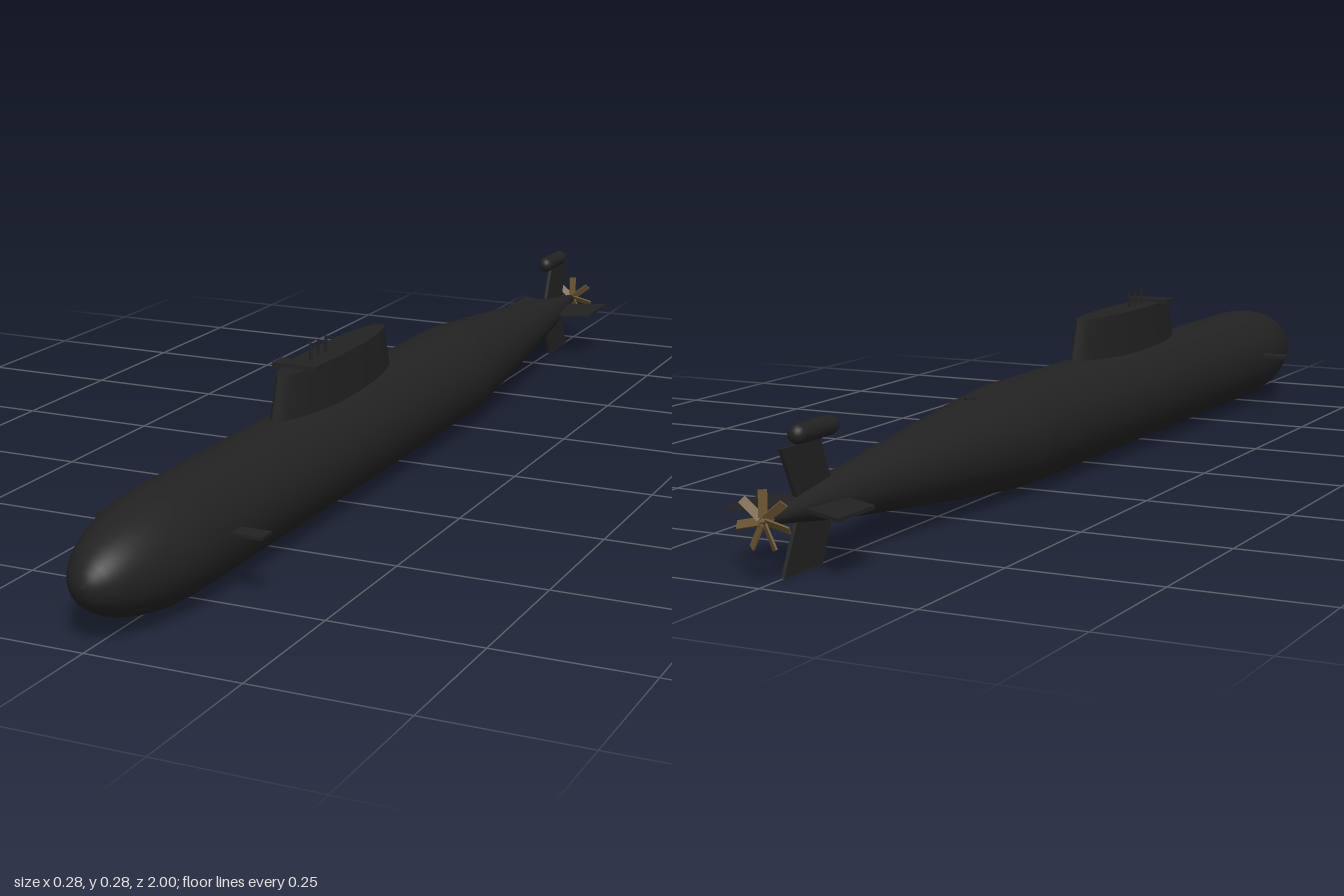
import * as THREE from 'three';

const CY = 0.092; // height of the hull axis
const R = 0.09; // hull radius

export function createModel() {
  const black = new THREE.MeshStandardMaterial({ color: 0x222222 });
  black.name = 'hull black';
  const brass = new THREE.MeshStandardMaterial({ color: 0x6b5530 });
  brass.name = 'dull brass';

  const model = new THREE.Group();
  model.name = 'submarine';
  const add = (name, geometry, material, x = 0, y = 0, z = 0, parent = model) => {
    const mesh = new THREE.Mesh(geometry, material);
    mesh.name = name;
    mesh.position.set(x, y, z);
    parent.add(mesh);
    return mesh;
  };

  // Hull: straight middle, long tapered stern and elliptical bow
  const tail = [[0, -0.98], [0.008, -0.975], [0.021, -0.89], [0.035, -0.8], [0.057, -0.61], [0.076, -0.43], [0.0895, -0.29], [R, -0.27]];
  const profile = tail.map(([r, z]) => new THREE.Vector2(r, z));
  for (let i = 0; i <= 12; i++) {
    const a = (i / 12) * Math.PI / 2;
    profile.push(new THREE.Vector2(i === 12 ? 0 : R * Math.cos(a), 0.76 + 0.238 * Math.sin(a)));
  }
  add('hull', new THREE.LatheGeometry(profile, 40).rotateX(Math.PI / 2), black, 0, CY, 0);

  // Sail: tapered oval tower
  const sail = new THREE.CylinderGeometry(0.875, 1, 0.091, 28).scale(0.0365, 1, 0.224);
  add('sail', sail, black, 0, 0.2065, 0.21);

  // Small planes at the top of the sail, and masts behind them
  add('sailPlanes', new THREE.BoxGeometry(0.08, 0.008, 0.035), black, 0, 0.254, 0.335);
  for (const z of [0.29, 0.262, 0.234]) {
    add('mast', new THREE.CylinderGeometry(0.0025, 0.0025, 0.036, 8), black, 0, 0.262, z);
  }

  // Aft deck hatch
  add('hatch', new THREE.CylinderGeometry(0.01, 0.01, 0.012, 16), black, 0, 0.168, -0.39);

  // Bow planes
  for (const side of [-1, 1]) {
    add('bowPlane', new THREE.BoxGeometry(0.07, 0.005, 0.032), black, side * 0.105, 0.102, 0.718);
  }

  // Four swept stern fins in a cross
  const outline = new THREE.Shape([[0.005, -0.9], [0.092, -0.942], [0.092, -0.842], [0.005, -0.805]].map(([x, z]) => new THREE.Vector2(x, z)));
  const finGeometry = new THREE.ExtrudeGeometry(outline, { depth: 0.006, bevelEnabled: false })
    .translate(0, 0, -0.003).rotateX(Math.PI / 2);
  for (let i = 0; i < 4; i++) {
    add('sternFin', finGeometry, black, 0, CY, 0).rotation.z = i * Math.PI / 2;
  }

  // Sonar pod on the upper fin
  add('sternPod', new THREE.CapsuleGeometry(0.015, 0.08, 6, 16).rotateX(Math.PI / 2), black, 0, 0.198, -0.855);

  // Propeller: pointed hub and seven pitched blades
  const propeller = new THREE.Group();
  propeller.name = 'propeller';
  propeller.position.set(0, CY, -0.986);
  model.add(propeller);
  add('hub', new THREE.ConeGeometry(0.009, 0.028, 16).rotateX(-Math.PI / 2), brass, 0, 0, 0, propeller);
  const bladeGeometry = new THREE.BoxGeometry(0.013, 0.039, 0.003).rotateY(0.6).translate(0, 0.0245, 0);
  for (let i = 0; i < 7; i++) {
    add('blade', bladeGeometry, brass, 0, 0, 0, propeller).rotation.z = (i / 7) * Math.PI * 2;
  }
  return model;
}
